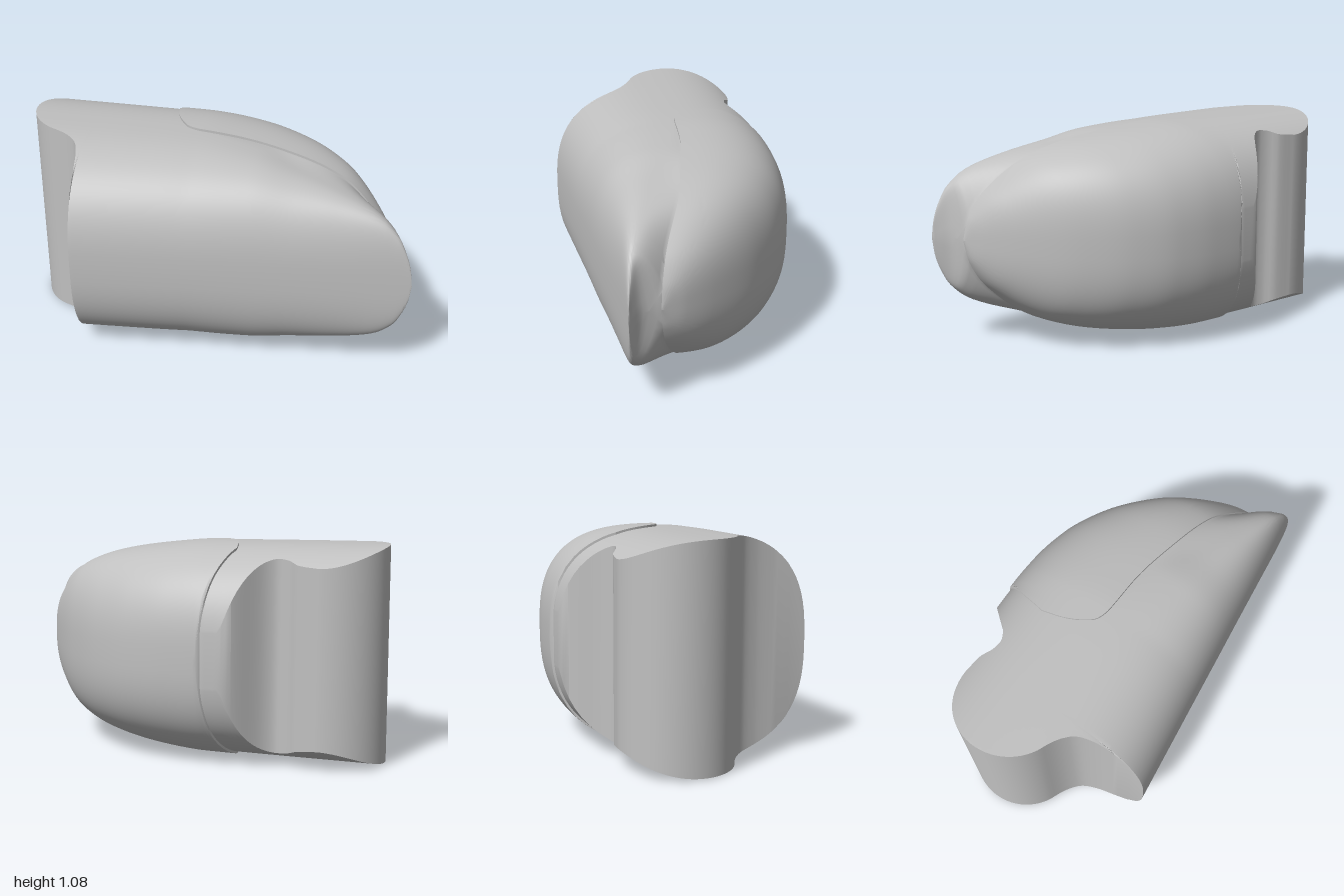
import * as THREE from 'three';
import { toCreasedNormals } from 'three/addons/utils/BufferGeometryUtils.js';

const MID = 0.54; // height of the horizontal symmetry plane
const POWER = 2.7; // roundness of the cross-sections
const STEPS = 22;

// Smooth monotone curve through [x, value] points
function curve(...p) {
  const n = p.length;
  const d = [];
  for (let i = 0; i < n - 1; i++) d.push((p[i + 1][1] - p[i][1]) / (p[i + 1][0] - p[i][0]));
  const m = p.map((_, i) => {
    if (i === 0) return d[0];
    if (i === n - 1) return d[n - 2];
    const a = d[i - 1], b = d[i];
    return a * b <= 0 ? 0 : (2 * a * b) / (a + b);
  });
  return (x) => {
    if (x <= p[0][0]) return p[0][1];
    if (x >= p[n - 1][0]) return p[n - 1][1];
    let i = 0;
    while (x > p[i + 1][0]) i++;
    const w = p[i + 1][0] - p[i][0], t = (x - p[i][0]) / w, s = 1 - t;
    return p[i][1] * (1 + 2 * t) * s * s + m[i] * w * t * s * s
      + p[i + 1][1] * t * t * (3 - 2 * t) - m[i + 1] * w * t * t * s;
  };
}

const round = (t) => Math.pow(Math.max(0, 1 - Math.pow(Math.min(1, Math.max(0, t)), POWER)), 1 / POWER);
const clamp = THREE.MathUtils.clamp;

// Evenly or cosine spaced stations
const range = (a, b, n) => Array.from({ length: n }, (_, i) => a + ((b - a) * i) / n);
const easeIn = (a, b, n) => range(0, 1, n).map((t) => a + (b - a) * (1 - Math.cos((t * Math.PI) / 2)));
const easeOut = (a, b, n) => range(0, 1, n).map((t) => a + (b - a) * Math.sin((t * Math.PI) / 2));

// Loft mirrored sections; section(x) returns [z, half height] from front to back
function loft(stations, section) {
  const pos = [], index = [];
  let ring = 0;
  for (const x of stations) {
    const top = section(x);
    ring = top.length * 2;
    for (const [z, h] of top) pos.push(x, MID + h, z);
    for (const [z, h] of top.slice().reverse()) pos.push(x, MID - h, z);
  }
  for (let i = 0; i < stations.length - 1; i++) {
    for (let j = 0; j < ring; j++) {
      const k = (j + 1) % ring;
      const a = i * ring + j, b = i * ring + k, c = b + ring, d = a + ring;
      index.push(a, d, c, a, c, b);
    }
  }
  const g = new THREE.BufferGeometry();
  g.setAttribute('position', new THREE.Float32BufferAttribute(pos, 3));
  g.setIndex(index);
  return toCreasedNormals(g, 0.7);
}

// Rounded lobe at the left end of the plan outline
const lobe = (x) => Math.sqrt(Math.max(0, 0.28 ** 2 - (x + 0.72) ** 2));

// Plan outline of the body, front and back
const neckFront = curve([-0.85, 0.118], [-0.8, 0.14], [-0.75, 0.17], [-0.7, 0.22],
  [-0.67, 0.3], [-0.655, 0.42], [-0.65, 0.57]);
const frontEdge = (x) => 0.57 - 0.103 * Math.max(0, x + 0.65);
const bodyFront = (x) => (x < -0.85 ? -0.13 + lobe(x) : x < -0.65 ? neckFront(x) : frontEdge(x));
const backLine = curve([-0.72, -0.41], [-0.62, -0.395], [-0.56, -0.36], [-0.51, -0.35], [-0.47, -0.367],
  [-0.27, -0.56], [-0.17, -0.56], [0.2, -0.51], [0.4, -0.42], [0.6, -0.26], [0.75, -0.08],
  [0.88, 0.15], [0.905, 0.25], [0.93, 0.325], [0.97, 0.372], [1, 0.4]);
const bodyBack = (x) => (x < -0.72 ? -0.13 - lobe(x) : backLine(x));

// Seam beside the cover and the raised rim in front of it
const seamZ = curve([-0.1, 0], [0.1, 0.01], [0.4, 0.06], [0.62, 0.11], [0.82, 0.2], [0.92, 0.24]);
const seamH = curve([-1, 0.535], [-0.3, 0.53], [-0.1, 0.525], [0.1, 0.508], [0.4, 0.463],
  [0.62, 0.393], [0.82, 0.228], [0.9, 0.085], [0.92, 0], [1, 0]);
const rimZ = curve([-0.1, 0], [0.2, 0.1], [0.4, 0.17], [0.62, 0.25], [0.82, 0.33], [0.92, 0.37],
  [0.97, 0.39], [1, 0.4]);
const rimH = curve([-1, 0.535], [-0.3, 0.53], [-0.1, 0.525], [0.2, 0.5], [0.4, 0.455], [0.62, 0.405],
  [0.82, 0.335], [0.92, 0.25], [0.97, 0.15], [0.99, 0.08], [1, 0]);

function bodySection(x) {
  const zf = bodyFront(x), zb = Math.min(bodyBack(x), zf);
  const rim = rimZ(x), seam = Math.min(rim, Math.max(seamZ(x), zb));
  const hr = rimH(x), hs = seamH(x);
  const backRef = x < -0.17 ? -0.565 : zb;
  const height = (z) => {
    if (z >= rim) return hr * round((z - rim) / Math.max(1e-5, frontEdge(x) - rim));
    if (z <= seam) return hs * round((seam - z) / Math.max(1e-5, seam - backRef));
    const t = (z - seam) / (rim - seam);
    return hs + (hr - hs) * t * (2 - t);
  };
  const r = clamp(rim, zb, zf), s = clamp(seam, zb, zf);
  const zs = [
    ...easeOut(r, zf, STEPS).concat(zf).reverse(),
    ...range(r, s, 8).slice(1),
    ...easeOut(s, zb, STEPS), zb,
  ];
  return zs.map((z) => [z, height(z)]);
}

// Cover plan outline and crest height
const coverFront = curve([-0.28, -0.27], [-0.26, -0.17], [-0.22, -0.08], [-0.17, -0.02], [-0.1, 0],
  [0.1, 0.01], [0.4, 0.06], [0.62, 0.11], [0.82, 0.2], [0.92, 0.24]);
const coverBack = curve([-0.28, -0.27], [-0.24, -0.42], [-0.17, -0.575], [0, -0.567], [0.2, -0.53],
  [0.4, -0.44], [0.6, -0.28], [0.75, -0.1], [0.88, 0.12], [0.92, 0.24]);
const coverH = curve([-0.28, 0.54], [-0.1, 0.537], [0.1, 0.52], [0.4, 0.475], [0.62, 0.405],
  [0.82, 0.24], [0.9, 0.1], [0.92, 0]);

function coverSection(x) {
  const zf = coverFront(x), zb = Math.min(coverBack(x), zf);
  const crest = x < -0.1 ? 0 : zf;
  const backRef = x < -0.17 ? -0.575 : zb;
  const zs = [...easeOut(zf, zb, 32), zb];
  return zs.map((z) => [z, coverH(x) * round((crest - z) / Math.max(1e-5, crest - backRef))]);
}

export function createModel() {
  const group = new THREE.Group();
  group.name = 'roundedHousing';
  const grey = new THREE.MeshStandardMaterial({ color: 0xc0c0c0 });
  grey.name = 'plain grey';

  const add = (name, stations, section) => {
    const mesh = new THREE.Mesh(loft(stations, section), grey);
    mesh.name = name;
    group.add(mesh);
  };

  // Main body with the lobe on one end and a pointed lip on the other
  add('mainBody', [
    ...easeIn(-1, -0.72, 16), ...range(-0.72, -0.67, 5), ...range(-0.67, -0.65, 8),
    ...range(-0.65, -0.17, 24), ...range(-0.17, 0.85, 34), ...easeOut(0.85, 1, 20), 1,
  ], bodySection);

  // Domed cover set slightly proud of the body
  add('domedCover', [
    ...easeIn(-0.28, -0.17, 12), ...range(-0.17, -0.1, 5), ...range(-0.1, 0.8, 32),
    ...easeOut(0.8, 0.92, 16), 0.92,
  ], coverSection);

  return group;
}
